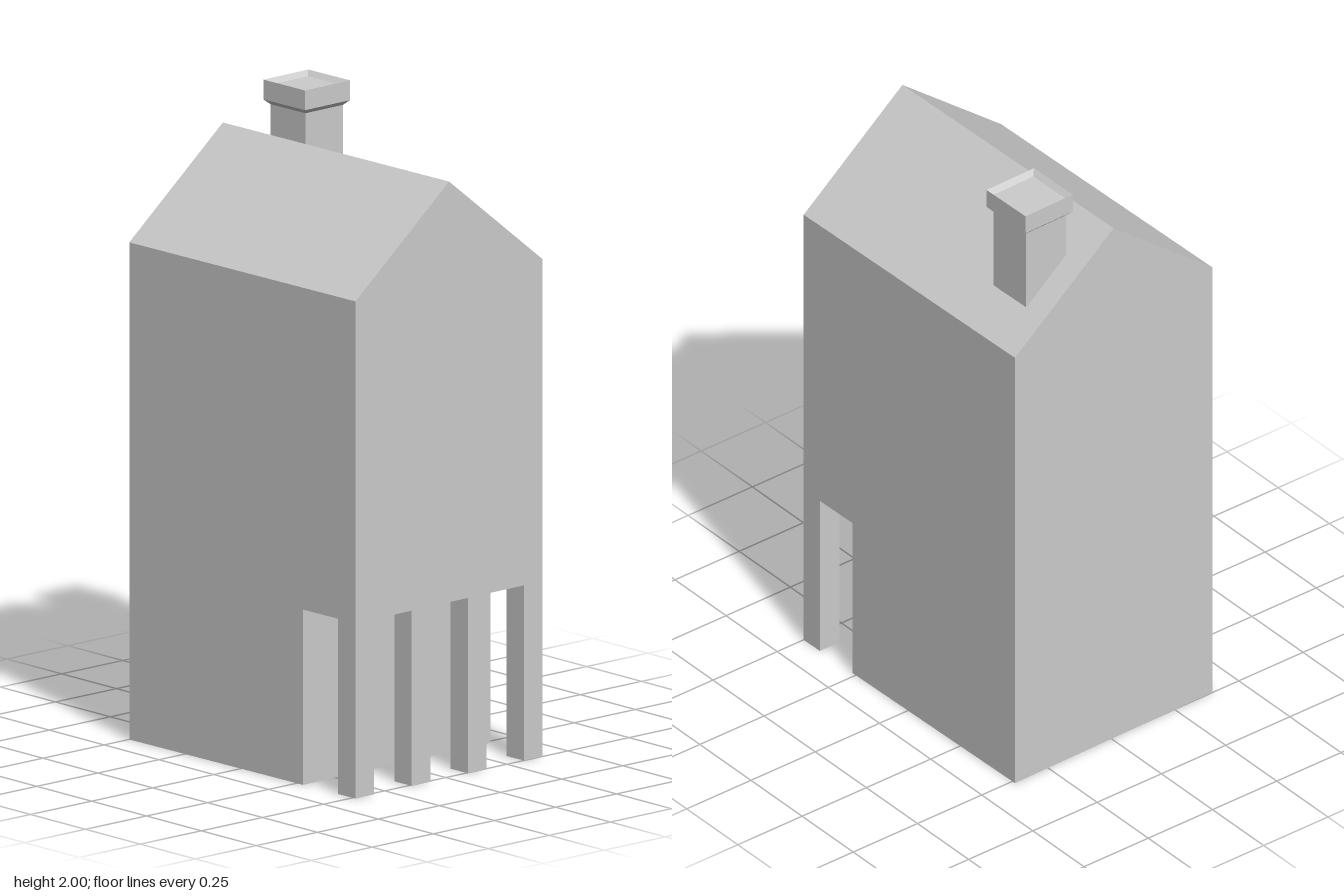
import * as THREE from 'three';

const W = 0.506;       // half length along the ridge
const D = 0.389;       // half depth
const ARCH = 0.55;     // height of the arcade openings
const EAVES = 1.56;
const RIDGE = 1.87;
const WALL = 0.2715;   // recessed wall behind the posts
const POST = 2 * D / 10;

export function createModel() {
  const group = new THREE.Group();
  const material = new THREE.MeshStandardMaterial({ color: 0xcccccc, flatShading: true });

  const add = (name, geometry, x = 0, y = 0, z = 0) => {
    const mesh = new THREE.Mesh(geometry, material);
    mesh.name = name;
    mesh.position.set(x, y, z);
    group.add(mesh);
    return mesh;
  };

  // Upper storeys and gabled roof: one gable outline drawn out along the ridge
  const gable = new THREE.Shape([
    new THREE.Vector2(-D, ARCH),
    new THREE.Vector2(D, ARCH),
    new THREE.Vector2(D, EAVES),
    new THREE.Vector2(0, RIDGE),
    new THREE.Vector2(-D, EAVES),
  ]);
  const upper = new THREE.ExtrudeGeometry(gable, { depth: 2 * W, bevelEnabled: false });
  upper.rotateY(Math.PI / 2);
  add('upperHouse', upper, -W);

  // Ground floor, set back behind the arcade
  add('groundFloor', new THREE.BoxGeometry(W + WALL, ARCH, 2 * D), (WALL - W) / 2, ARCH / 2);

  // Four square posts, with gaps twice as wide as the posts
  for (let i = 0; i < 4; i++) {
    add('arcadePost', new THREE.BoxGeometry(POST, ARCH, POST),
      W - POST / 2, ARCH / 2, D - POST / 2 - i * 3 * POST);
  }

  // Square chimney: shaft, flared cap and shallow sunken top
  const profile = [
    [0.078, 1.58], [0.078, 1.923], [0.0935, 1.938], [0.0935, 2], [0.078, 1.984], [0, 1.984],
  ].map(([half, y]) => new THREE.Vector2(half * Math.SQRT2, y));
  const chimney = new THREE.LatheGeometry(profile, 4);
  chimney.rotateY(Math.PI / 4);
  add('chimney', chimney, -0.342, 0, -0.196);

  // The whole house stands slightly turned
  group.rotation.y = 0.0168;
  const model = new THREE.Group();
  group.name = 'house';
  model.add(group);
  return model;
}
